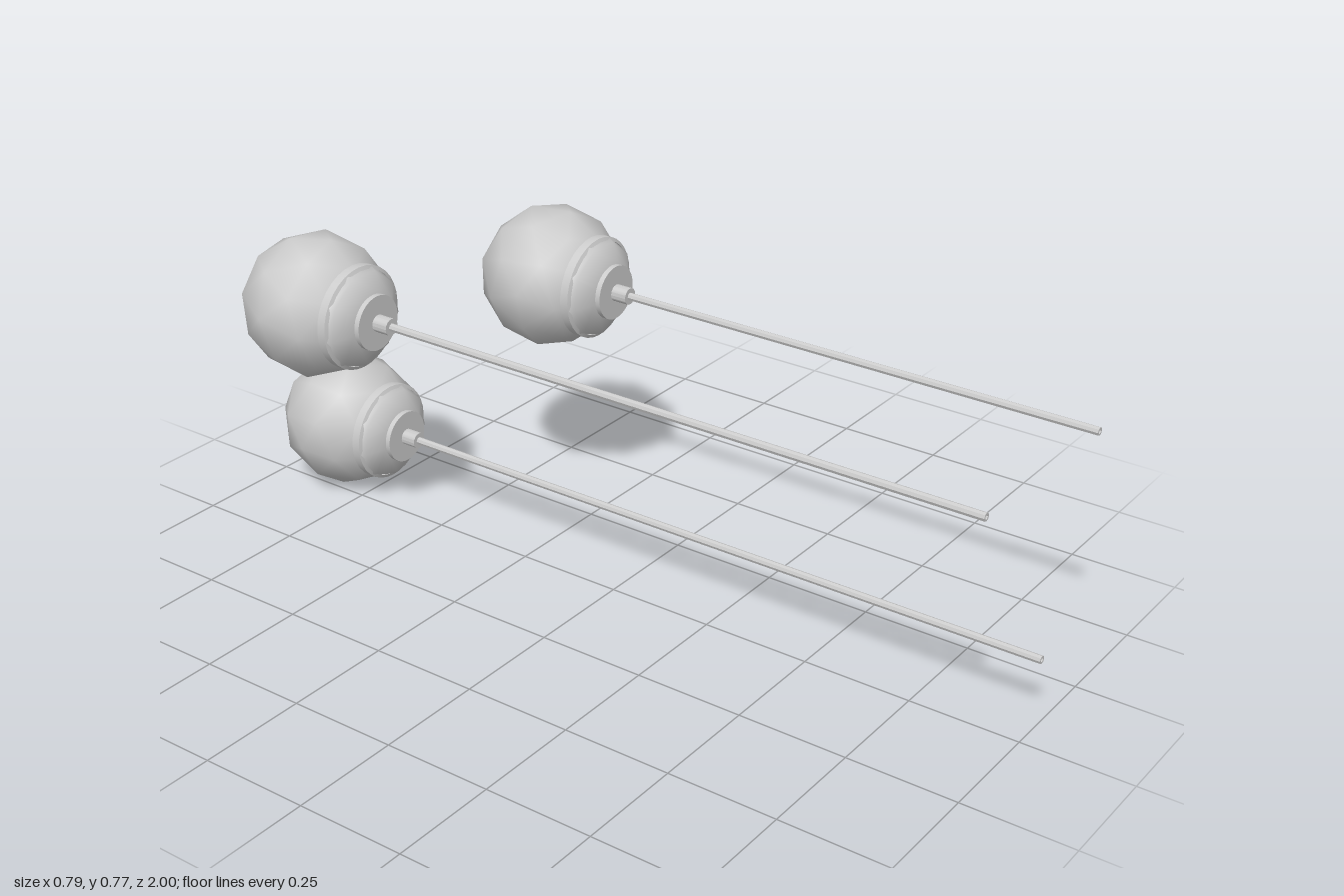
import * as THREE from 'three';
import { toCreasedNormals } from 'three/addons/utils/BufferGeometryUtils.js';

const grey = new THREE.MeshStandardMaterial({ color: 0xcccccc, side: THREE.DoubleSide });

function part(name, geometry) {
  const mesh = new THREE.Mesh(geometry, grey);
  mesh.name = name;
  return mesh;
}

// Turned part around the z axis from [radius, z] pairs, with sharp edges kept
function turned(name, profile, sides) {
  const points = profile.map(([r, z]) => new THREE.Vector2(r, z));
  const geometry = new THREE.LatheGeometry(points, sides).rotateX(Math.PI / 2);
  return part(name, toCreasedNormals(geometry, 0.75));
}

// One globe lamp: globe at the group's origin, rod running towards +z
function globeLamp(rodEnd, tilt) {
  const lamp = new THREE.Group();

  // Coarse faceted globe with smooth shading
  const globe = part('globe', new THREE.IcosahedronGeometry(0.162, 1));
  globe.rotation.set(...tilt);
  lamp.add(globe);

  // Thin ring seated on the globe
  lamp.add(turned('collarRing', [[0, 0.112], [0.116, 0.112], [0.116, 0.132], [0.108, 0.136]], 32));

  // Faceted cone narrowing to the end plate
  lamp.add(turned('collarCone', [[0.114, 0.132], [0.106, 0.144], [0.068, 0.168], [0, 0.168]], 9));

  // Round end plate and the socket that holds the rod
  lamp.add(turned('endPlate', [[0.062, 0.162], [0.062, 0.18], [0, 0.18]], 32));
  lamp.add(turned('rodSocket', [[0.019, 0.175], [0.019, 0.218], [0, 0.218]], 16));

  // Hollow rod
  lamp.add(turned('rod', [[0.009, 0.21], [0.009, rodEnd], [0.005, rodEnd], [0.005, rodEnd - 0.03], [0, rodEnd - 0.03]], 8));
  return lamp;
}

export function createModel() {
  const model = new THREE.Group();
  model.name = 'globeLamps';
  const lamps = [
    { name: 'upperRightLamp', at: [-0.234, 0.615, -0.63], tilt: [0.3, 0.2, 0.5] },
    { name: 'lowerLamp', at: [0.07, 0.16, -0.84], tilt: [0.1, 0.5, 0.2] },
    { name: 'upperLeftLamp', at: [0.234, 0.598, -0.345], tilt: [0.6, 0.1, 0.9] },
  ];
  for (const { name, at, tilt } of lamps) {
    const lamp = globeLamp(1 - at[2], tilt);
    lamp.name = name;
    lamp.position.set(...at);
    model.add(lamp);
  }
  return model;
}
